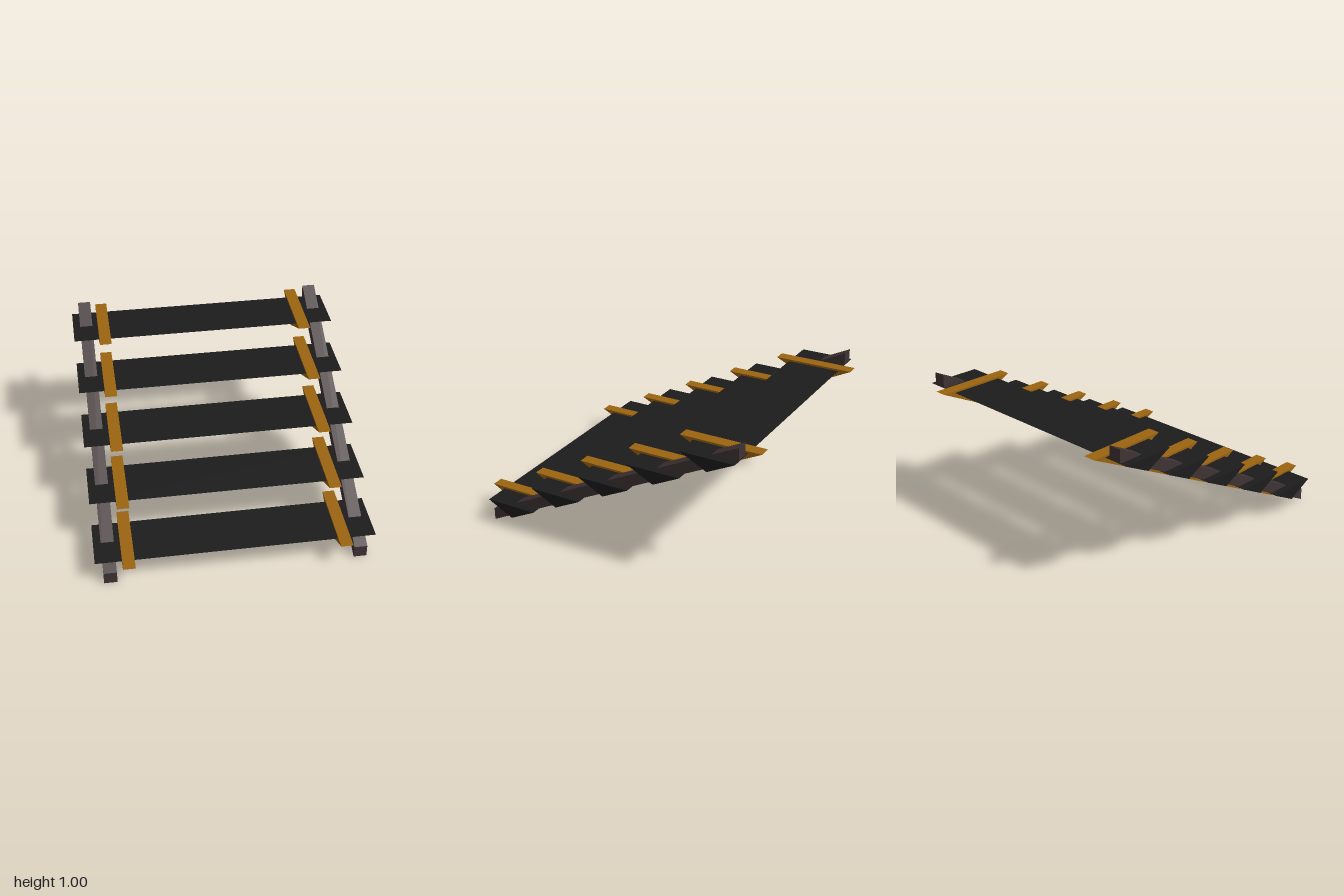
import * as THREE from 'three';

const material = (color) => new THREE.MeshStandardMaterial({ color, flatShading: true });

// Prism running along x, from a side profile given as [z, y] points
function prism(points, width) {
  const shape = new THREE.Shape(points.map(([z, y]) => new THREE.Vector2(z, y)));
  return new THREE.ExtrudeGeometry(shape, { depth: width, bevelEnabled: false })
    .translate(0, 0, -width / 2)
    .rotateY(-Math.PI / 2);
}

// Downward-pointing triangle
const wedge = (half, top, bottom) => [[-half, top], [0, bottom], [half, top]];

export function createModel() {
  const group = new THREE.Group();
  const dark = material(0x1c1c1c);
  const gold = material(0x9c6410);
  const brown = material(0x403334);

  function add(parent, name, geometry, mat, x = 0) {
    const mesh = new THREE.Mesh(geometry, mat);
    mesh.name = name;
    mesh.position.x = x;
    parent.add(mesh);
  }

  const treadGeometry = prism(wedge(0.182, 0.045, -0.046), 1.82);
  const bandGeometry = prism(wedge(0.272, 0.058, -0.078), 0.08);
  const stringerGeometry = prism([[0.91, 0], [0.91, 0.083], [-0.91, 0.997], [-0.91, 0.914]], 0.086);

  // Sloping side rails
  for (const [side, s] of [['left', 1], ['right', -1]]) {
    add(group, side + 'Stringer', stringerGeometry, brown, s * 0.818);
  }

  // Five wedge treads, each with a gilded band near both ends
  for (let i = 0; i < 5; i++) {
    const step = new THREE.Group();
    step.name = 'step' + (i + 1);
    step.position.set(0, 0.497 + (i - 2) * 0.1825, (2 - i) * 0.364);
    add(step, 'tread', treadGeometry, dark);
    add(step, 'leftBand', bandGeometry, gold, 0.698);
    add(step, 'rightBand', bandGeometry, gold, -0.698);
    group.add(step);
  }

  return group;
}
